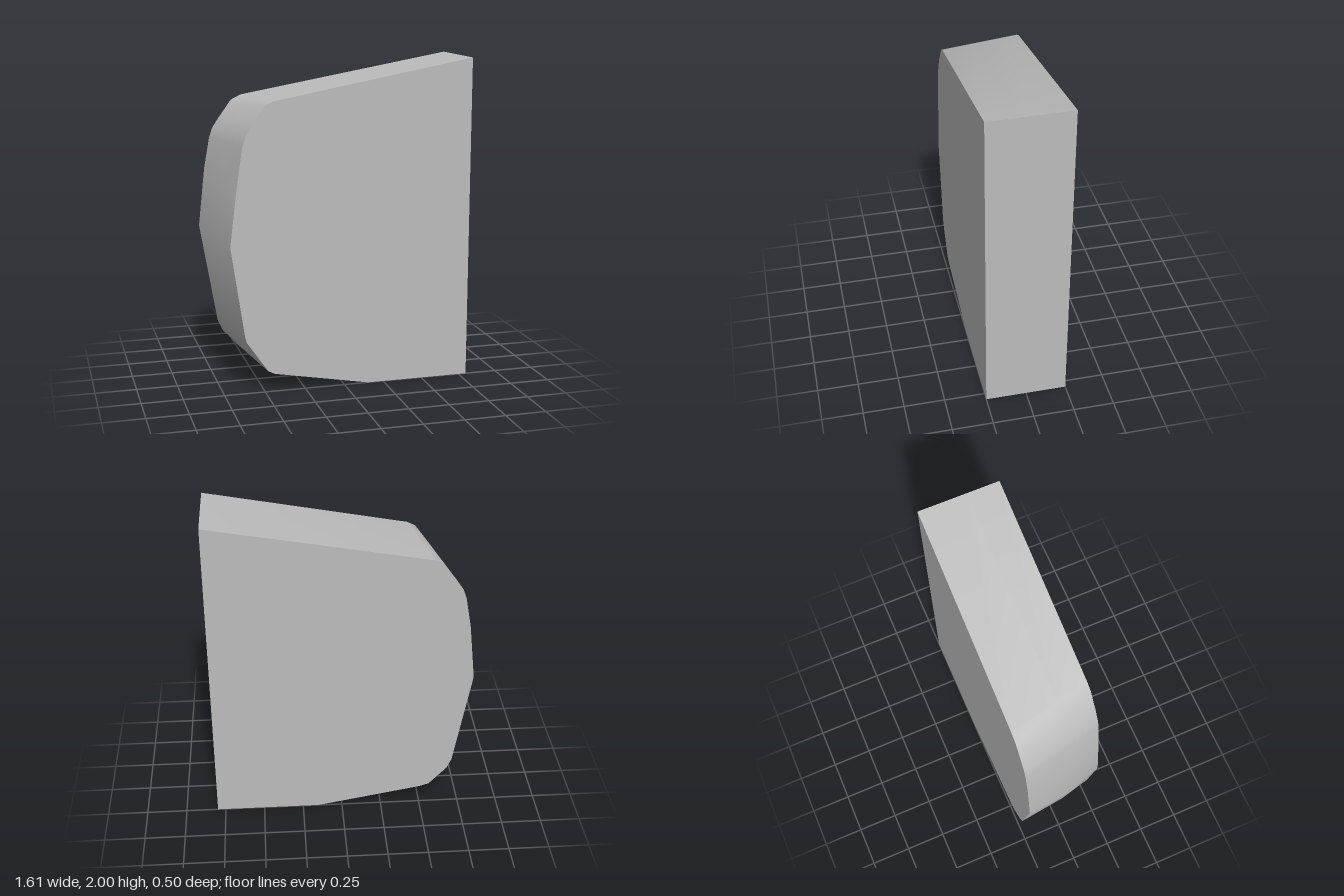
import * as THREE from 'three';
import { toCreasedNormals } from 'three/addons/utils/BufferGeometryUtils.js';

// Matching outlines, from the bottom right corner round the left side to the top right.
const BACK = [[0.8, 0], [0.15, 0], [-0.5, 0.12], [-0.56, 0.14], [-0.67, 0.26], [-0.7, 0.33], [-0.805, 0.95],
  [-0.765, 1.31], [-0.73, 1.5], [-0.71, 1.56], [-0.67, 1.62], [-0.59, 1.73], [-0.53, 1.76], [0.8, 2]];
const FRONT = [[0.8, 0], [0.15, 0], [-0.44, 0.11], [-0.48, 0.13], [-0.61, 0.32], [-0.62, 0.36], [-0.7, 0.91],
  [-0.66, 1.23], [-0.62, 1.5], [-0.6, 1.56], [-0.56, 1.63], [-0.48, 1.74], [-0.43, 1.765], [0.8, 1.995]];
// Slight outward swell of the rounded edge between the two faces
const SWELL = { 4: 0.01, 5: 0.015, 6: 0.028, 7: 0.005 };

function slabGeometry() {
  const t = 0.6;
  const middle = BACK.map(([x, y], i) => [
    x + (FRONT[i][0] - x) * t - (SWELL[i] || 0),
    y + (FRONT[i][1] - y) * t,
  ]);
  const rings = [[BACK, -0.25], [middle, 0.05], [FRONT, 0.25]];
  const n = BACK.length;
  const positions = rings.flatMap(([ring, z]) => ring.flatMap(([x, y]) => [x, y, z]));
  const index = [];

  // Rim
  for (let r = 0; r < 2; r++) {
    for (let i = 0; i < n; i++) {
      const j = (i + 1) % n;
      const a = r * n + i, b = r * n + j, c = b + n, d = a + n;
      index.push(a, d, c, a, c, b);
    }
  }
  // Flat back and front faces
  const f = 2 * n;
  for (let i = 1; i < n - 1; i++) index.push(0, i, i + 1, f, f + i + 1, f + i);

  const geometry = new THREE.BufferGeometry();
  geometry.setAttribute('position', new THREE.Float32BufferAttribute(positions, 3));
  geometry.setIndex(index);
  return toCreasedNormals(geometry, 0.5);
}

export function createModel() {
  const group = new THREE.Group();
  group.name = 'roundedSlab';
  const grey = new THREE.MeshStandardMaterial({ color: 0xbcbcbc });
  grey.name = 'grey';
  const slab = new THREE.Mesh(slabGeometry(), grey);
  slab.name = 'slab';
  group.add(slab);
  return group;
}
